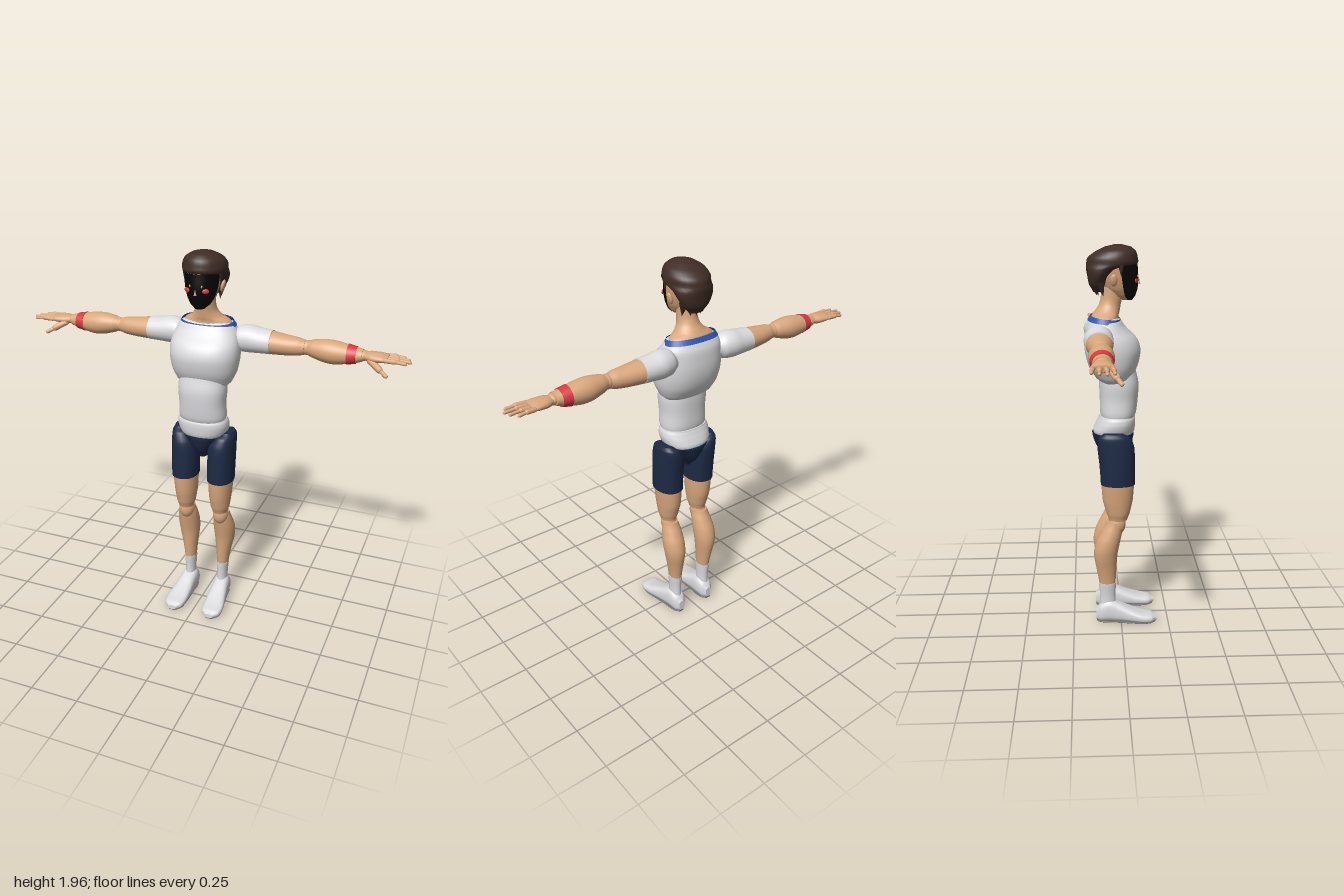
import * as THREE from 'three';

const mat = (name, color, side = THREE.FrontSide) => {
  const m = new THREE.MeshStandardMaterial({ color, side });
  m.name = name;
  return m;
};

// Smooth value through rows p1..p2
const spline = (a, b, c, d, t) =>
  0.5 * (2 * b + (c - a) * t + (2 * a - 5 * b + 4 * c - d) * t * t + (3 * b - a - 3 * c + d) * t * t * t);

// Skin rows of [t, u, v, radiusU, radiusV] along an axis; (t,u,v) is (y,z,x), (x,y,z) or (z,x,y)
function loft(axis, rows, { sides = 28, n = 2, steps = 4, arc = 0, caps = true } = {}) {
  const sec = [];
  const last = rows.length - 1;
  for (let i = 0; i < last; i++)
    for (let k = 0; k < steps; k++)
      sec.push(rows[i].map((_, c) => c === 0
        ? rows[i][0] + (rows[i + 1][0] - rows[i][0]) * k / steps
        : spline(rows[Math.max(i - 1, 0)][c], rows[i][c], rows[i + 1][c], rows[Math.min(i + 2, last)][c], k / steps)));
  sec.push(rows[last]);
  const pos = [], idx = [];
  const put = (t, u, v) => pos.push(...(axis === 'y' ? [v, t, u] : axis === 'x' ? [t, u, v] : [u, v, t]));
  const bend = (x) => Math.sign(x) * Math.abs(x) ** (2 / n);
  const cols = arc ? sides + 1 : sides;
  const ring = ([t, u, v, ru, rv]) => {
    for (let j = 0; j < cols; j++) {
      const a = arc ? -arc + 2 * arc * j / sides : 2 * Math.PI * j / sides;
      put(t, u + ru * bend(Math.cos(a)), v + rv * bend(Math.sin(a)));
    }
  };
  sec.forEach(ring);
  for (let i = 0; i < sec.length - 1; i++)
    for (let j = 0; j < sides; j++) {
      const a = i * cols + j, b = i * cols + (j + 1) % cols;
      idx.push(a, b, a + cols, b, b + cols, a + cols);
    }
  if (caps && !arc)
    for (const top of [false, true]) {
      const s = sec[top ? sec.length - 1 : 0], base = pos.length / 3;
      ring(s);
      put(s[0], s[1], s[2]);
      for (let j = 0; j < sides; j++) {
        const p = base + j, q = base + (j + 1) % sides;
        idx.push(base + sides, top ? p : q, top ? q : p);
      }
    }
  const g = new THREE.BufferGeometry();
  g.setAttribute('position', new THREE.Float32BufferAttribute(pos, 3));
  g.setIndex(idx);
  g.computeVertexNormals();
  return g;
}

const ball = (x, y, z, rx, ry = rx, rz = rx) =>
  new THREE.SphereGeometry(1, 20, 14).scale(rx, ry, rz).translate(x, y, z);

// Rounded segment between two points
function segment(p, q, r) {
  const a = new THREE.Vector3(...p), b = new THREE.Vector3(...q), d = b.clone().sub(a);
  const turn = new THREE.Quaternion().setFromUnitVectors(new THREE.Vector3(0, 1, 0), d.clone().normalize());
  const m = a.add(b).multiplyScalar(0.5);
  return new THREE.CapsuleGeometry(r, d.length(), 4, 10).applyQuaternion(turn).translate(m.x, m.y, m.z);
}

function mirror(geo) {
  const g = geo.clone().scale(-1, 1, 1), ix = g.index;
  for (let i = 0; i < ix.count; i += 3) {
    const b = ix.getX(i + 1);
    ix.setX(i + 1, ix.getX(i + 2));
    ix.setX(i + 2, b);
  }
  g.computeVertexNormals();
  return g;
}

export function createModel() {
  const skin = mat('skin', 0xd9a77c), white = mat('white cloth', 0xdcdcde), navy = mat('navy cloth', 0x1d2a45);
  const hair = mat('hair', 0x402d26), red = mat('red', 0xd93a3e), sole = mat('sole grey', 0x707073);
  const black = mat('black mask', 0x060606, THREE.DoubleSide), blue = mat('blue trim', 0x2c58b8, THREE.DoubleSide);
  const model = new THREE.Group();
  const add = (name, geo, m) => {
    const mesh = new THREE.Mesh(geo, m);
    mesh.name = name;
    model.add(mesh);
    return mesh;
  };
  const both = (name, geo, m) => {
    add(name + 'Left', geo, m);
    add(name + 'Right', mirror(geo), m);
  };

  // Torso
  add('chest', loft('y', [[1.285, -0.03, 0, 0.065, 0.115], [1.31, -0.035, 0, 0.09, 0.14], [1.36, -0.037, 0, 0.119, 0.163],
    [1.41, -0.038, 0, 0.135, 0.174], [1.46, -0.04, 0, 0.14, 0.178], [1.51, -0.05, 0, 0.129, 0.174],
    [1.56, -0.072, 0, 0.101, 0.16], [1.595, -0.076, 0, 0.081, 0.14], [1.61, -0.078, 0, 0.066, 0.115]], { n: 2.3, sides: 40 }), white);
  add('abdomen', loft('y', [[1.09, -0.015, 0, 0.08, 0.115], [1.13, -0.012, 0, 0.092, 0.123], [1.2, -0.008, 0, 0.097, 0.12],
    [1.28, -0.008, 0, 0.1, 0.125], [1.36, -0.015, 0, 0.09, 0.115]], { n: 2.3 }), white);
  add('hips', loft('y', [[1.0, -0.035, 0, 0.085, 0.09], [1.03, -0.035, 0, 0.105, 0.12], [1.07, -0.025, 0, 0.101, 0.133],
    [1.1, -0.018, 0, 0.094, 0.131], [1.115, -0.018, 0, 0.088, 0.124]], { n: 2.3 }), white);
  add('crotch', loft('y', [[0.89, -0.03, 0, 0.04, 0.022], [0.94, -0.035, 0, 0.083, 0.05], [1.0, -0.037, 0, 0.104, 0.1],
    [1.025, -0.038, 0, 0.107, 0.12]]), navy);
  const collar = add('collarTrim', loft('y', [[-0.013, 0, 0, 0.086, 0.146], [0.012, 0, 0, 0.075, 0.132]],
    { steps: 1, n: 2.3, sides: 40, caps: false }), blue);
  collar.position.set(0, 1.6, -0.076);
  collar.rotation.x = 0.12;

  // Neck and head
  add('neck', loft('y', [[1.59, -0.076, 0, 0.07, 0.13], [1.615, -0.077, 0, 0.068, 0.115], [1.635, -0.068, 0, 0.064, 0.08],
    [1.665, -0.055, 0, 0.056, 0.057], [1.7, -0.045, 0, 0.053, 0.05], [1.76, -0.04, 0, 0.053, 0.05]]), skin);
  const face = [[1.695, 0.03, 0, 0.025, 0.022], [1.715, 0.012, 0, 0.057, 0.046], [1.75, 0, 0, 0.08, 0.066],
    [1.8, -0.01, 0, 0.094, 0.08], [1.868, -0.02, 0, 0.1, 0.086]];
  add('head', loft('y', [...face, [1.92, -0.03, 0, 0.085, 0.072], [1.94, -0.03, 0, 0.05, 0.04]]), skin);
  add('faceMask', loft('y', face.map(([y, z, x, a, b]) => [y, z, x, a + 0.005, b + 0.004]), { arc: 1.42 }), black);
  add('nose', new THREE.ConeGeometry(0.007, 0.03, 6).translate(0, 1.785, 0.092), skin);
  both('eye', ball(0, 0, 0, 0.017, 0.012, 0.005).rotateY(0.5).translate(0.047, 1.79, 0.077), red);
  both('eyeCorner', ball(0.03, 1.812, 0.085, 0.004, 0.007, 0.004), skin);
  both('ear', ball(0, 0, 0, 0.01, 0.03, 0.018).rotateZ(-0.25).translate(0.092, 1.795, -0.035), skin);

  // Hair cap with nape locks
  add('hair', loft('y', [[1.735, -0.115, 0, 0.02, 0.04], [1.77, -0.112, 0, 0.042, 0.072], [1.81, -0.106, 0, 0.056, 0.094],
    [1.845, -0.085, 0, 0.083, 0.104], [1.868, -0.043, 0, 0.124, 0.107], [1.9, -0.037, 0, 0.122, 0.106],
    [1.93, -0.022, 0, 0.098, 0.09], [1.952, -0.012, 0, 0.062, 0.055], [1.962, -0.01, 0, 0.02, 0.02]]), hair);
  for (let i = -2; i <= 2; i++)
    add('napeLock', new THREE.ConeGeometry(0.024, 0.07, 6).rotateX(Math.PI - 0.25)
      .translate(i * 0.03, 1.75, -0.125 + i * i * 0.008), hair);
  both('sideLock', new THREE.ConeGeometry(0.02, 0.07, 6).scale(0.5, 1, 1).rotateX(Math.PI).translate(0.092, 1.85, 0), hair);

  // Arms
  both('sleeve', loft('x', [[0.13, 1.52, -0.1, 0.045, 0.05], [0.16, 1.523, -0.106, 0.064, 0.065], [0.21, 1.524, -0.112, 0.069, 0.071],
    [0.26, 1.521, -0.111, 0.063, 0.07], [0.323, 1.519, -0.11, 0.059, 0.067]]), white);
  both('upperArm', loft('x', [[0.31, 1.518, -0.11, 0.057, 0.066], [0.4, 1.515, -0.107, 0.05, 0.056],
    [0.46, 1.515, -0.105, 0.044, 0.045], [0.49, 1.515, -0.105, 0.036, 0.037]]), skin);
  both('elbow', ball(0.5, 1.516, -0.105, 0.036), skin);
  both('forearm', loft('x', [[0.5, 1.516, -0.105, 0.034, 0.034], [0.53, 1.515, -0.105, 0.044, 0.045], [0.59, 1.511, -0.106, 0.056, 0.057],
    [0.64, 1.508, -0.106, 0.057, 0.057], [0.7, 1.508, -0.106, 0.047, 0.05], [0.74, 1.509, -0.105, 0.038, 0.043],
    [0.77, 1.511, -0.105, 0.03, 0.038]]), skin);
  both('wristBand', loft('x', [[0.698, 1.508, -0.106, 0.05, 0.053], [0.741, 1.509, -0.105, 0.041, 0.046]], { steps: 1 }), red);
  both('wrist', ball(0.773, 1.512, -0.105, 0.027, 0.026, 0.032), skin);
  both('palm', loft('x', [[0.775, 1.512, -0.105, 0.019, 0.028], [0.81, 1.511, -0.105, 0.025, 0.043],
    [0.86, 1.512, -0.106, 0.021, 0.05], [0.89, 1.512, -0.107, 0.014, 0.048]]), skin);
  [[-0.146, 0.956], [-0.119, 0.982], [-0.092, 0.992], [-0.066, 0.973]].forEach(([z, tip], i) => {
    const mid = 0.88 + (tip - 0.88) * 0.5, splay = (i - 1.5) * 0.004;
    both('fingerBase', segment([0.88, 1.512, z], [mid, 1.513, z + splay / 2], 0.0115), skin);
    both('fingerTip', segment([mid, 1.513, z + splay / 2], [tip, 1.509, z + splay], 0.008), skin);
  });
  both('thumbBase', segment([0.81, 1.498, -0.078], [0.86, 1.47, -0.05], 0.016), skin);
  both('thumbTip', segment([0.86, 1.47, -0.05], [0.895, 1.45, -0.031], 0.01), skin);

  // Legs
  both('shortsLeg', loft('y', [[0.77, -0.016, 0.099, 0.088, 0.069], [0.88, -0.02, 0.1, 0.091, 0.07], [0.97, -0.027, 0.103, 0.093, 0.067],
    [1.02, -0.035, 0.117, 0.08, 0.051], [1.042, -0.04, 0.13, 0.05, 0.028]], { n: 2.2 }), navy);
  both('thigh', loft('y', [[0.575, -0.016, 0.097, 0.048, 0.04], [0.61, -0.015, 0.097, 0.06, 0.05], [0.68, -0.017, 0.097, 0.077, 0.059],
    [0.78, -0.017, 0.099, 0.084, 0.065]]), skin);
  both('knee', ball(0.098, 0.55, -0.022, 0.042, 0.058, 0.046), skin);
  both('calf', loft('y', [[0.215, -0.072, 0.096, 0.043, 0.031], [0.3, -0.077, 0.099, 0.052, 0.04], [0.39, -0.08, 0.103, 0.062, 0.054],
    [0.46, -0.066, 0.103, 0.062, 0.057], [0.52, -0.046, 0.1, 0.053, 0.05], [0.565, -0.035, 0.099, 0.042, 0.041]]), skin);
  both('sock', loft('y', [[0.09, -0.07, 0.095, 0.042, 0.028], [0.15, -0.071, 0.095, 0.041, 0.028], [0.222, -0.072, 0.096, 0.046, 0.033]]), white);

  // Shoes: [z, x, y, half width, half height]
  const shoe = [[-0.132, 0.095, 0.042, 0.018, 0.03], [-0.11, 0.095, 0.052, 0.036, 0.049], [-0.07, 0.095, 0.064, 0.043, 0.061],
    [-0.02, 0.098, 0.056, 0.045, 0.053], [0.04, 0.102, 0.042, 0.051, 0.039], [0.11, 0.108, 0.029, 0.056, 0.026],
    [0.16, 0.109, 0.024, 0.049, 0.02], [0.188, 0.108, 0.02, 0.022, 0.012]];
  both('shoe', loft('z', shoe, { n: 2.7 }), white);
  both('sole', loft('z', shoe.map(([z, x, , w]) => [z * 0.97, x, 0.004, w * 0.88, 0.004]), { n: 3 }), sole);
  return model;
}
